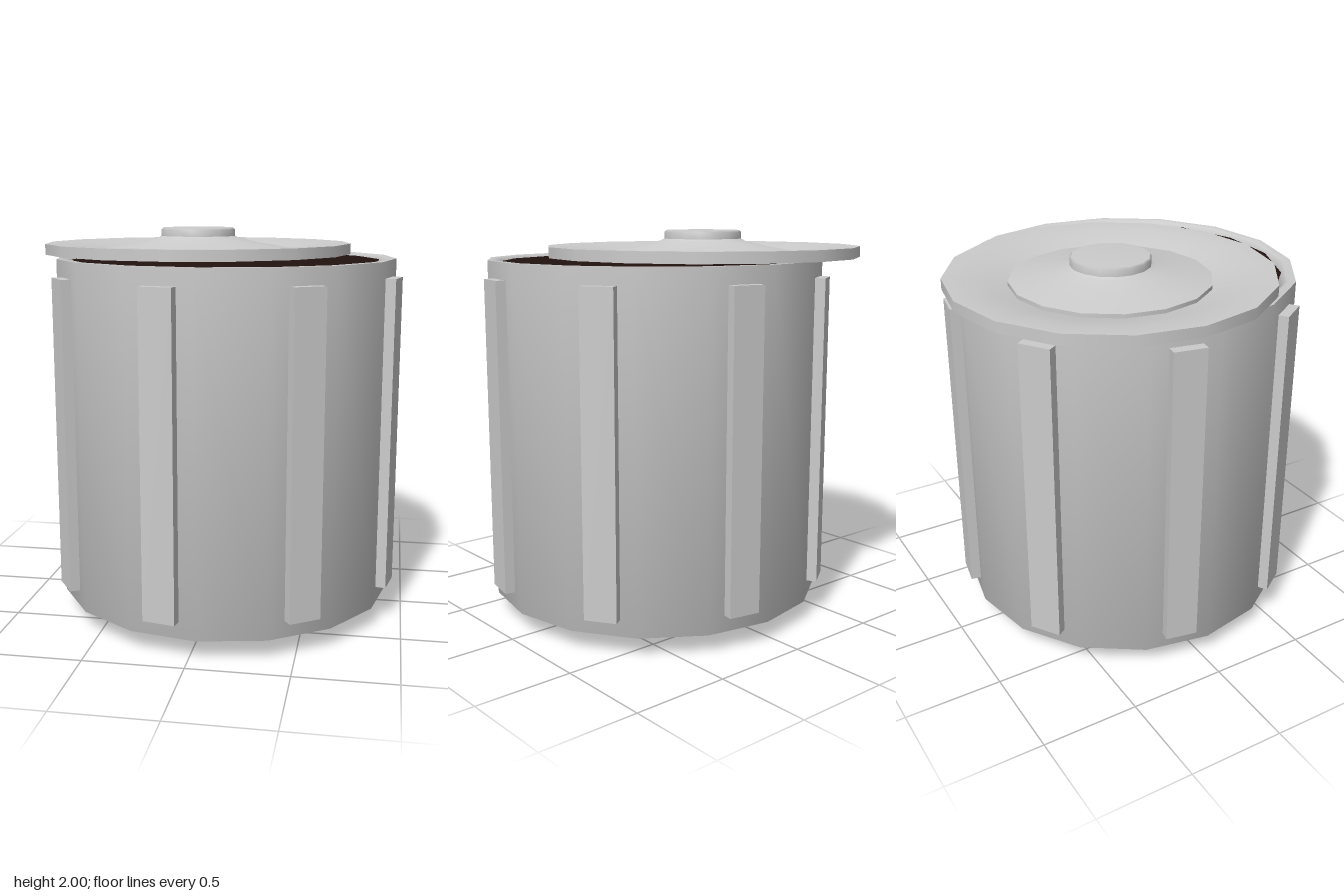
import * as THREE from 'three';

const SIDES = 16;
const grey = new THREE.MeshStandardMaterial({ color: 0xcccccc, side: THREE.DoubleSide });
const dark = new THREE.MeshStandardMaterial({ color: 0x21120e });

// Smooth 16-sided turned part from [radius, height] pairs
function turned(name, profile) {
  const points = profile.map(([r, y]) => new THREE.Vector2(r, y));
  const mesh = new THREE.Mesh(new THREE.LatheGeometry(points, SIDES), grey);
  mesh.name = name;
  return mesh;
}

export function createModel() {
  const model = new THREE.Group();
  model.name = 'trashCan';

  const can = new THREE.Group();
  can.name = 'can';
  can.position.set(0.04, 0, 0.04);

  // Body with tapered underside and a rim rolled inwards
  can.add(turned('body', [[0, 0], [0.36, 0], [0.875, 0.1], [0.875, 1.855]]));
  can.add(turned('rim', [[0.875, 1.855], [0.835, 1.855], [0.795, 1.82], [0.79, 1.7]]));

  // Dark filling just under the rim
  const filling = new THREE.Mesh(new THREE.CircleGeometry(0.8, SIDES, Math.PI / SIDES), dark);
  filling.name = 'darkInterior';
  filling.rotation.x = -Math.PI / 2;
  filling.position.y = 1.842;
  can.add(filling);

  // Upright ribs on every second side
  const ribShape = new THREE.BoxGeometry(0.1, 1.585, 0.165);
  for (let i = 0; i < 8; i++) {
    const a = Math.PI / SIDES + (i * Math.PI) / 4;
    const rib = new THREE.Mesh(ribShape, grey);
    rib.name = 'rib';
    rib.position.set(0.86 * Math.cos(a), 0.9775, 0.86 * Math.sin(a));
    rib.rotation.y = -a;
    can.add(rib);
  }
  model.add(can);

  // Lid pushed off towards the back right corner
  const lid = new THREE.Group();
  lid.name = 'lid';
  lid.position.set(-0.14, 0, -0.135);
  lid.add(turned('lidUnderside', [[0, 1.865], [0.815, 1.865]]));
  lid.add(turned('lidEdge', [[0.815, 1.865], [0.815, 1.92]]));
  lid.add(turned('lidDish', [[0.815, 1.92], [0.72, 1.918], [0.6, 1.895], [0.5, 1.87]]));
  lid.add(turned('lidStep', [[0.5, 1.868], [0.5, 1.89]]));
  lid.add(turned('lidCone', [[0.5, 1.89], [0.33, 1.92], [0.22, 1.946], [0.2, 1.957]]));
  lid.add(turned('knob', [[0.2, 1.95], [0.2, 1.99], [0.19, 2], [0, 2]]));
  model.add(lid);

  return model;
}
